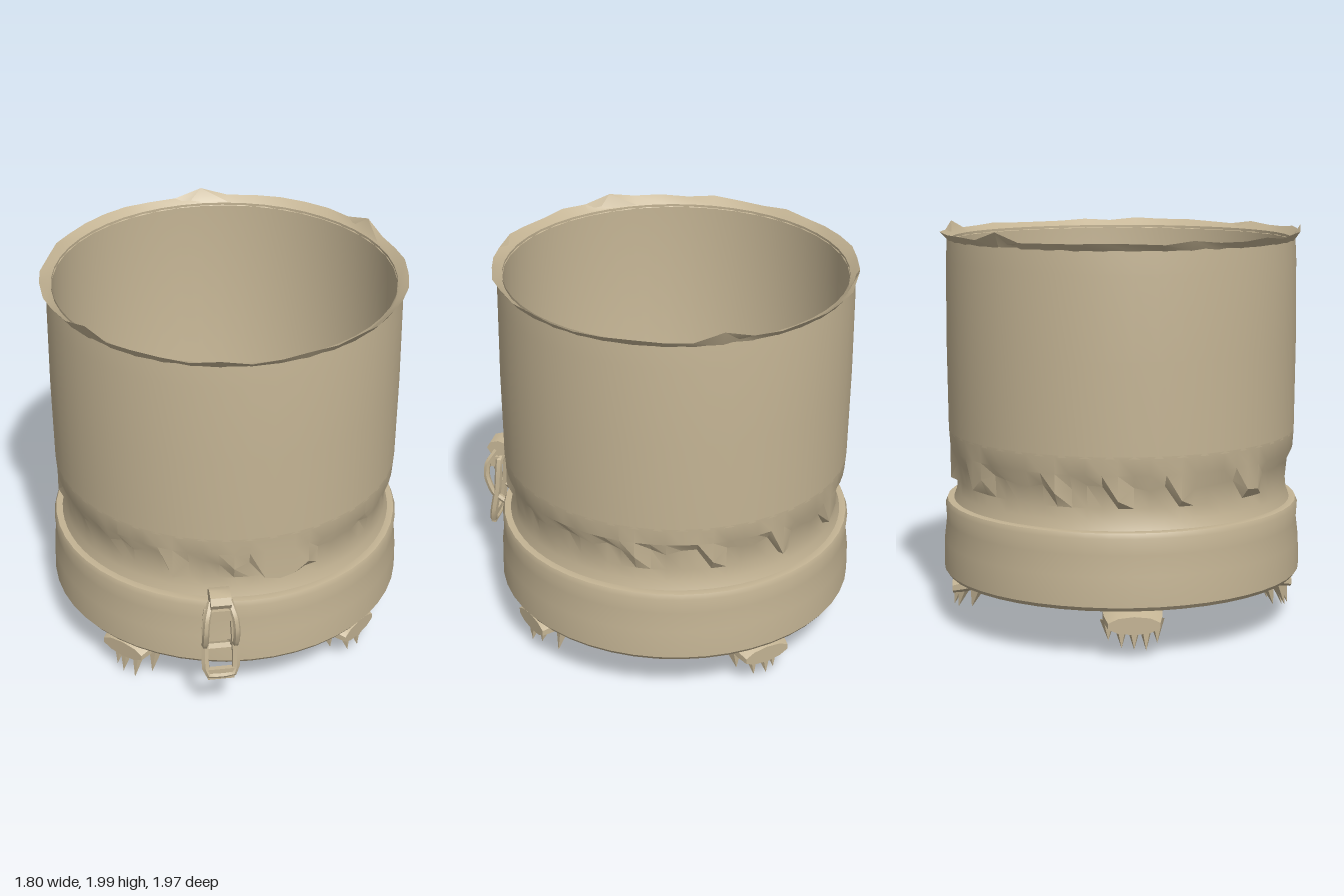
import * as THREE from 'three';
import { toCreasedNormals } from 'three/addons/utils/BufferGeometryUtils.js';

const CZ = -0.08; // vessel axis
const V2 = (x, y) => new THREE.Vector2(x, y);
const V3 = (x, y, z) => new THREE.Vector3(x, y, z);

function seeded(seed) {
  return () => {
    seed = (seed * 16807) % 2147483647;
    return seed / 2147483647;
  };
}

export function createModel() {
  const model = new THREE.Group();
  const clay = new THREE.MeshStandardMaterial({ color: 0xc4b494, side: THREE.DoubleSide });
  clay.name = 'sandy clay';

  const add = (parent, name, geometry, crease = 0.6) => {
    const mesh = new THREE.Mesh(toCreasedNormals(geometry, crease), clay);
    mesh.name = name;
    parent.add(mesh);
    return mesh;
  };

  // Lathe whose points can be shifted per segment: rule(j, i) -> [dr, dy]
  const roughLathe = (points, segments, rule) => {
    const geo = new THREE.LatheGeometry(points, segments);
    const p = geo.attributes.position;
    const n = points.length;
    for (let i = 0; i <= segments; i++) {
      const a = (i / segments) * Math.PI * 2;
      for (let j = 0; j < n; j++) {
        const [dr, dy] = rule(j, i % segments);
        const r = points[j].x + dr;
        p.setXYZ(i * n + j, r * Math.sin(a), points[j].y + dy, r * Math.cos(a));
      }
    }
    return geo;
  };

  const vessel = new THREE.Group();
  vessel.name = 'vessel';
  vessel.position.z = CZ;
  model.add(vessel);

  // Base band with its floor
  add(vessel, 'baseBand', new THREE.LatheGeometry([
    V2(0, 0.235), V2(0.885, 0.235), V2(0.9, 0.255), V2(0.897, 0.4), V2(0.885, 0.5),
    V2(0.89, 0.58), V2(0.88, 0.605), V2(0.83, 0.61), V2(0.81, 0.6), V2(0.82, 0.245), V2(0, 0.245),
  ], 48));

  // Pinched waist with torn folds
  const SEG = 72;
  const rand = seeded(41);
  const fold = Array.from({ length: SEG }, () => {
    const k = rand();
    return k > 0.8 ? [0.025, -0.09 * rand()] : [-0.012 * k, 0.035 * rand()];
  });
  const waist = [
    V2(0.85, 0.6), V2(0.832, 0.65), V2(0.826, 0.71), V2(0.838, 0.79), V2(0.862, 0.87), V2(0.868, 0.96),
  ];
  add(vessel, 'waist', roughLathe(waist, SEG, (j, i) => (j === 3 ? fold[i] : [0, 0])), 0.5);

  // Tall wall, outside then inside
  add(vessel, 'outerWall', new THREE.LatheGeometry([
    V2(0.868, 0.95), V2(0.872, 1.4), V2(0.868, 1.8), V2(0.862, 1.91),
  ], 48));
  add(vessel, 'innerWall', new THREE.LatheGeometry([
    V2(0.84, 1.91), V2(0.84, 0.88), V2(0.805, 0.74), V2(0.815, 0.6),
  ], 48));

  // Ragged lip
  const lipRand = seeded(97);
  const lip = Array.from({ length: 40 }, () => {
    const k = lipRand();
    return [0.015 * lipRand() - 0.005, k > 0.92 ? 0.045 : 0.02 * k];
  });
  add(vessel, 'raggedLip', roughLathe(
    [V2(0.86, 1.9), V2(0.888, 1.93), V2(0.855, 1.91), V2(0.838, 1.895)],
    40, (j, i) => (j === 1 ? lip[i] : [0, 0])), 0.4);

  // Clawed feet on the four diagonals; local +z points outward
  for (let f = 0; f < 4; f++) {
    const foot = new THREE.Group();
    foot.name = 'clawFoot' + (f + 1);
    foot.rotation.y = Math.PI / 4 + (f * Math.PI) / 2;
    vessel.add(foot);

    const paw = new THREE.CylinderGeometry(1, 1, 1, 10, 5);
    const p = paw.attributes.position;
    for (let i = 0; i < p.count; i++) {
      const t = p.getY(i) + 0.5;
      const width = 0.1 + 0.05 * Math.sin(t * Math.PI * 0.8);
      const height = 0.012 + 0.045 * Math.sin(t * Math.PI * 0.75);
      p.setXYZ(i, p.getX(i) * width, 0.232 - 0.075 * t - p.getZ(i) * height, 0.56 + 0.3 * t);
    }
    paw.computeVertexNormals();
    add(foot, 'paw', paw);

    const clawRand = seeded(11 + f * 53);
    for (let c = -2; c <= 2; c++) {
      const length = 0.1 + 0.05 * clawRand() + (f === 3 ? 0.025 : 0);
      const claw = new THREE.ConeGeometry(0.04, length, 5);
      claw.rotateX(Math.PI - 0.25);
      const m = add(foot, 'claw', claw, 0.3);
      m.position.set(c * 0.058, 0.16 - length / 2, 0.84 - 0.022 * c * c);
    }
  }

  // Latch on the front
  const latch = new THREE.Group();
  latch.name = 'latch';
  latch.position.x = -0.165;
  model.add(latch);
  const tube = (name, pts, radius, closed = false) => add(latch, name,
    new THREE.TubeGeometry(new THREE.CatmullRomCurve3(pts, closed, 'catmullrom', 0.3), 24, radius, 6, closed));

  tube('latchLoop', [
    V3(-0.06, 0.295, 0.95), V3(0.06, 0.295, 0.95), V3(0.075, 0.36, 0.94), V3(0.072, 0.5, 0.915),
    V3(0.055, 0.66, 0.905), V3(-0.055, 0.66, 0.905), V3(-0.072, 0.5, 0.915), V3(-0.075, 0.36, 0.94),
  ], 0.02, true);

  for (const s of [-1, 1]) {
    tube('latchHook', [
      V3(s * 0.045, 0.71, 0.92), V3(s * 0.068, 0.64, 0.965), V3(s * 0.075, 0.56, 0.972),
      V3(s * 0.075, 0.47, 0.94), V3(s * 0.07, 0.42, 0.88), V3(s * 0.06, 0.37, 0.81),
    ], 0.017);
  }
  const bar = (name, w, h, d, y, z, tilt = 0) => {
    const m = add(latch, name, new THREE.BoxGeometry(w, h, d, 1, 1, 1));
    m.position.set(0, y, z);
    m.rotation.x = tilt;
  };
  bar('latchCrossBar', 0.14, 0.025, 0.05, 0.4, 0.86, -0.5);
  bar('latchPull', 0.13, 0.06, 0.025, 0.3, 0.95);
  bar('latchTopPlate', 0.12, 0.06, 0.05, 0.645, 0.93);

  // Rounded knob at the latch top
  const knob = new THREE.CylinderGeometry(0.045, 0.045, 0.1, 8);
  knob.rotateZ(Math.PI / 2);
  knob.scale(1, 1, 1.4);
  add(latch, 'latchKnob', knob).position.set(0, 0.722, 0.91);

  return model;
}
